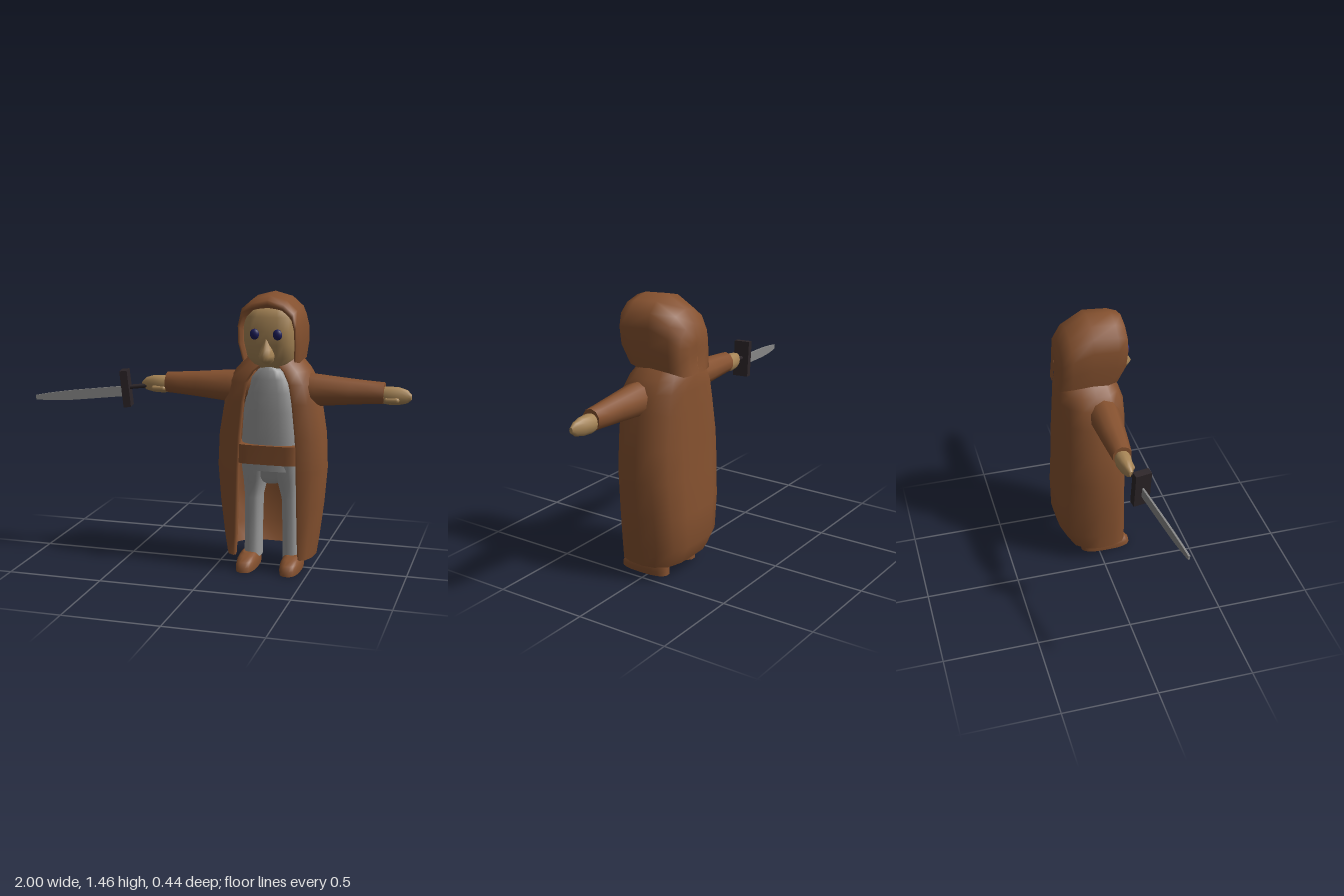
import * as THREE from 'three';

const mat = (name, color, side = THREE.FrontSide) => {
  const m = new THREE.MeshStandardMaterial({ color, side });
  m.name = name;
  return m;
};

// Skin a list of equal-length point rows; closed rows wrap round and get end caps.
function loft(rows, closed = true) {
  const n = rows[0].length, pos = [], idx = [];
  rows.forEach(r => r.forEach(p => pos.push(...p)));
  for (let i = 0; i < rows.length - 1; i++) {
    for (let j = 0; j < (closed ? n : n - 1); j++) {
      const k = (j + 1) % n;
      const a = i * n + j, b = i * n + k, c = b + n, d = a + n;
      idx.push(a, d, b, b, d, c);
    }
  }
  if (closed) {
    [rows[0], rows[rows.length - 1]].forEach((r, end) => {
      const base = pos.length / 3;
      r.forEach(p => pos.push(...p));
      for (let j = 1; j < n - 1; j++) {
        if (end) idx.push(base, base + j + 1, base + j);
        else idx.push(base, base + j, base + j + 1);
      }
    });
  }
  const g = new THREE.BufferGeometry();
  g.setAttribute('position', new THREE.Float32BufferAttribute(pos, 3));
  g.setIndex(idx);
  g.computeVertexNormals();
  return g;
}

// Rounded ring at height y: half width, front z, back z, centre x, squareness p.
function ring([y, rx, zf, zb, cx = 0], n, p) {
  const bend = v => Math.sign(v) * Math.abs(v) ** (2 / p);
  return Array.from({ length: n }, (_, i) => {
    const t = (i / n) * Math.PI * 2;
    return [cx + rx * bend(Math.cos(t)), y, (zf + zb) / 2 + ((zf - zb) / 2) * bend(Math.sin(t))];
  });
}
const body = (rows, n = 20, p = 2.3) => loft(rows.map(r => ring(r, n, p)));

// Mirror half of an open outline, running from -x round to +x.
const mirrored = half => [
  ...half.map(([x, y, z]) => [-x, y, z]),
  ...half.slice(0, -1).reverse(),
];

export function createModel() {
  const brown = mat('brown cloth', 0x85512f, THREE.DoubleSide);
  const grey = mat('grey cloth', 0x999999);
  const skin = mat('skin', 0xa78556);
  const navy = mat('eye blue', 0x1c1c58);
  const dark = mat('dark grip', 0x2c2528);
  const steel = mat('steel', 0x868686);

  const model = new THREE.Group();
  const figure = new THREE.Group();
  figure.name = 'figure';
  figure.position.x = 0.285;
  model.add(figure);
  const add = (name, geo, m, parent = figure) => {
    const mesh = new THREE.Mesh(geo, m);
    mesh.name = name;
    parent.add(mesh);
    return mesh;
  };

  // Robe, open at the front: y, half width, front z, back z, half opening
  const robe = [
    [0.08, 0.235, 0.14, -0.165, 0.165], [0.18, 0.25, 0.142, -0.215, 0.16],
    [0.36, 0.272, 0.143, -0.217, 0.155], [0.55, 0.287, 0.145, -0.205, 0.15],
    [0.72, 0.28, 0.145, -0.2, 0.143], [0.9, 0.25, 0.148, -0.192, 0.125],
    [1.0, 0.225, 0.143, -0.19, 0.108], [1.06, 0.19, 0.125, -0.185, 0.075],
    [1.1, 0.155, 0.105, -0.175, 0.03], [1.15, 0.11, 0.08, -0.15, 0.01],
  ].map(([y, w, f, b, o]) => mirrored([
    [o + 0.008, y, f - 0.06], [o, y, f - 0.012], [o + 0.012, y, f],
    [o + (w - o) * 0.6, y, f * 0.85], [w * 0.97, y, f * 0.45], [w, y, -0.02],
    [w * 0.94, y, b * 0.5], [w * 0.75, y, b * 0.84], [w * 0.42, y, b * 0.99], [0, y, b],
  ]));
  add('robe', loft(robe, false), brown);

  // Hood, built from arches running front to back: z, half width, top y, bottom y
  const hood = [
    [0.13, 0.132, 1.375, 1.12], [0.155, 0.14, 1.4, 1.11], [0.162, 0.15, 1.425, 1.11],
    [0.11, 0.16, 1.445, 1.1], [-0.02, 0.163, 1.455, 1.11], [-0.13, 0.155, 1.39, 1.1],
    [-0.18, 0.12, 1.325, 1.08], [-0.195, 0.06, 1.25, 1.08], [-0.196, 0.001, 1.23, 1.08],
  ].map(([z, w, top, low]) => {
    const h = top - low;
    const tuck = z > 0.1 ? 0.055 : z < -0.17 ? 0.012 : 0;
    return mirrored([
      [w * 0.92, low, z - tuck], [w, low + h * 0.3, z - tuck * 0.2], [w, low + h * 0.58, z],
      [w * 0.9, low + h * 0.79, z], [w * 0.56, low + h * 0.93, z], [0, top, z],
    ]);
  });
  add('hood', loft(hood, false), brown);

  // Head
  add('face', body([
    [1.07, 0.06, 0.09, -0.05], [1.09, 0.095, 0.12, -0.08], [1.13, 0.125, 0.152, -0.1],
    [1.2, 0.138, 0.174, -0.1], [1.27, 0.14, 0.181, -0.1], [1.34, 0.136, 0.17, -0.1],
    [1.375, 0.12, 0.155, -0.09], [1.39, 0.085, 0.13, -0.06],
  ], 24, 2.9), skin);
  add('nose', body([
    [1.1, 0.014, 0.15, 0.1], [1.122, 0.035, 0.203, 0.1], [1.148, 0.04, 0.22, 0.1],
    [1.18, 0.032, 0.203, 0.1], [1.23, 0.01, 0.18, 0.1],
  ], 14, 2), skin);

  // Tunic, belt
  add('tunic', body([
    [0.54, 0.158, 0.125, -0.12], [0.7, 0.157, 0.135, -0.12], [0.85, 0.147, 0.139, -0.12],
    [0.95, 0.132, 0.136, -0.12], [1.02, 0.104, 0.13, -0.1], [1.06, 0.07, 0.122, -0.08],
    [1.085, 0.02, 0.108, -0.05],
  ], 24, 2.8), grey);
  add('belt', body([[0.58, 0.168, 0.15, -0.12], [0.68, 0.165, 0.152, -0.12]], 32, 6), brown);
  add('hips', body([
    [0.46, 0.04, 0.06, -0.06], [0.5, 0.13, 0.09, -0.09], [0.6, 0.158, 0.125, -0.11],
  ], 20, 2.6), grey);

  for (const s of [1, -1]) {
    const side = s > 0 ? 'left' : 'right';

    const eye = add(side + 'Eye', new THREE.SphereGeometry(1, 16, 12), navy);
    eye.scale.set(0.024, 0.027, 0.016);
    eye.position.set(0.059 * s, 1.256, 0.178);

    add(side + 'Leg', body([
      [0.05, 0.046, 0.055, -0.075, 0.104 * s], [0.2, 0.044, 0.06, -0.07, 0.102 * s],
      [0.38, 0.045, 0.075, -0.075, 0.099 * s], [0.47, 0.058, 0.095, -0.09, 0.091 * s],
      [0.54, 0.072, 0.115, -0.1, 0.084 * s], [0.6, 0.077, 0.125, -0.1, 0.08 * s],
    ], 14, 2.6), grey);

    add(side + 'Shoe', body([
      [0, 0.053, 0.184, -0.095, 0.117 * s], [0.025, 0.055, 0.183, -0.096, 0.117 * s],
      [0.05, 0.052, 0.165, -0.096, 0.117 * s], [0.068, 0.045, 0.12, -0.094, 0.117 * s],
      [0.077, 0.034, 0.08, -0.085, 0.117 * s],
    ], 18, 2.6), brown);

    // Arm lofted upright, then laid out sideways
    const arm = new THREE.Group();
    arm.name = side + 'Arm';
    arm.position.y = 0.96;
    arm.rotation.z = -s * Math.PI / 2;
    figure.add(arm);
    add(side + 'Sleeve', body([
      [0.1, 0.09, 0.1, -0.07], [0.23, 0.084, 0.1, -0.062], [0.4, 0.068, 0.082, -0.053],
      [0.5, 0.06, 0.07, -0.047], [0.575, 0.055, 0.06, -0.042],
    ], 10, 2), brown, arm);
    add(side + 'Hand', body([
      [0.55, 0.042, 0.045, -0.03, 0.01 * s], [0.6, 0.047, 0.05, -0.034, 0.012 * s],
      [0.65, 0.045, 0.043, -0.026, 0.012 * s], [0.69, 0.034, 0.033, -0.01, 0.013 * s],
      [0.712, 0.014, 0.026, 0.006, 0.014 * s],
    ], 12, 2.2), skin, arm);
    const thumb = add(side + 'Thumb', new THREE.CapsuleGeometry(0.014, 0.05, 4, 8), skin, arm);
    thumb.position.set(0.03 * s, 0.615, 0.042);
  }

  // Sword, pointing away from the right hand
  const sword = new THREE.Group();
  sword.name = 'sword';
  sword.position.set(-0.51, 0.922, 0.04);
  sword.rotation.set(0, 0.17, 0.105);
  model.add(sword);
  add('guard', new THREE.BoxGeometry(0.04, 0.195, 0.085), dark, sword);
  const grip = add('grip', new THREE.CylinderGeometry(0.012, 0.012, 0.15, 10), dark, sword);
  grip.rotation.z = Math.PI / 2;
  grip.position.set(0.075, 0.004, 0);
  const edge = new THREE.Shape();
  edge.moveTo(0, 0.012);
  edge.lineTo(-0.25, 0.013);
  edge.quadraticCurveTo(-0.4, 0.013, -0.497, 0.003);
  edge.lineTo(-0.497, -0.02);
  edge.quadraticCurveTo(-0.38, -0.04, -0.25, -0.04);
  edge.lineTo(0, -0.043);
  const blade = new THREE.ExtrudeGeometry(edge, { depth: 0.01, bevelEnabled: false });
  blade.translate(0, 0, -0.005);
  add('blade', blade, steel, sword);

  return model;
}
